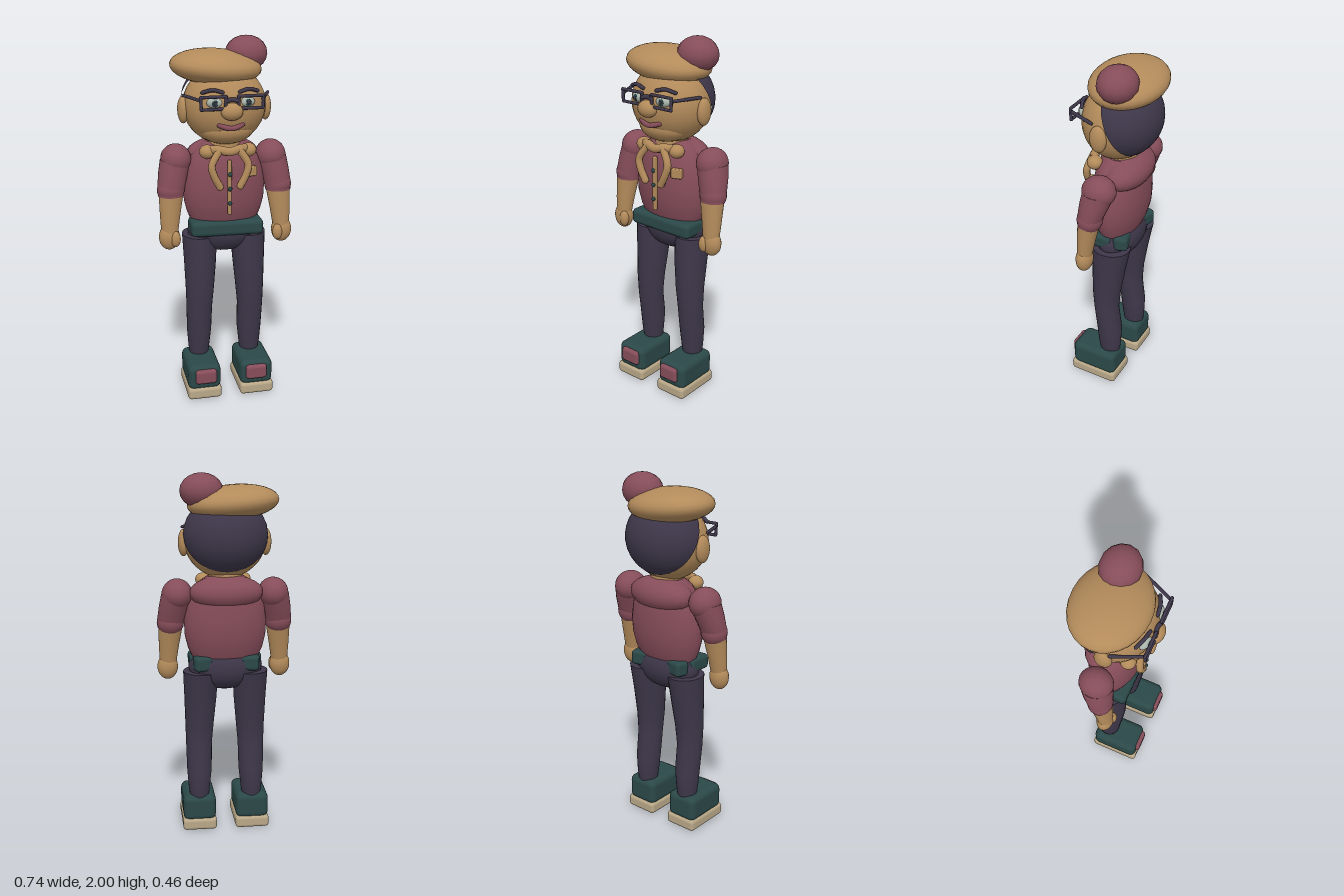
import * as THREE from 'three';
import { RoundedBoxGeometry } from 'three/addons/geometries/RoundedBoxGeometry.js';

const mat = (name, color) => Object.assign(new THREE.MeshStandardMaterial({ color }), { name });

export function createModel() {
  const root = new THREE.Group();
  root.name = 'figure';
  const tan = mat('tan', 0xb38b5b);
  const maroon = mat('maroon', 0x864d5a);
  const purple = mat('dark purple', 0x3e374a);
  const teal = mat('dark teal', 0x2b4848);
  const cream = mat('cream', 0xb9a888);
  const grey = mat('eye grey', 0xa9b3aa);

  const add = (name, geo, material, pos = [0, 0, 0], rot = [0, 0, 0]) => {
    const m = new THREE.Mesh(geo, material);
    m.name = name;
    m.position.set(...pos);
    m.rotation.set(...rot);
    root.add(m);
    return m;
  };
  const ball = (name, material, pos, r, rot, w = 20, h = 14) =>
    add(name, new THREE.SphereGeometry(1, w, h).scale(...r), material, pos, rot);
  const box = (name, material, pos, size, radius, rot) =>
    add(name, new RoundedBoxGeometry(...size, 3, radius), material, pos, rot);
  // Round-ended tube through a few points
  const tube = (name, material, pts, r) => {
    const v = pts.map(p => new THREE.Vector3(...p));
    add(name, new THREE.TubeGeometry(new THREE.CatmullRomCurve3(v), 14, r, 8), material);
    for (const e of [pts[0], pts[pts.length - 1]]) ball(name + 'End', material, e, [r, r, r], undefined, 8, 6);
  };
  // Skin over elliptical rings [y, cx, cz, rx, rz], listed from bottom to top
  const loft = (name, material, rings, n = 24) => {
    const pos = [], idx = [];
    for (const [y, cx, cz, rx, rz] of rings)
      for (let i = 0; i < n; i++) {
        const a = (i / n) * Math.PI * 2;
        pos.push(cx + Math.sin(a) * rx, y, cz + Math.cos(a) * rz);
      }
    for (let k = 0; k < rings.length - 1; k++)
      for (let i = 0; i < n; i++) {
        const a = k * n + i, b = k * n + (i + 1) % n;
        idx.push(a, b, a + n, b, b + n, a + n);
      }
    // End caps use their own vertices so the rims stay sharp
    [0, rings.length - 1].forEach((k, top) => {
      const [y, cx, cz] = rings[k], c = pos.length / 3;
      pos.push(cx, y, cz);
      for (let i = 0; i < n; i++) pos.push(...pos.slice((k * n + i) * 3, (k * n + i) * 3 + 3));
      for (let i = 0; i < n; i++) {
        const a = c + 1 + i, b = c + 1 + (i + 1) % n;
        if (top) idx.push(c, a, b); else idx.push(c, b, a);
      }
    });
    const g = new THREE.BufferGeometry();
    g.setAttribute('position', new THREE.Float32BufferAttribute(pos, 3));
    g.setIndex(idx);
    g.computeVertexNormals();
    return add(name, g, material);
  };

  // Head, hair and cap
  ball('head', tan, [0, 1.65, 0], [0.222, 0.21, 0.19], undefined, 28, 20);
  ball('jaw', tan, [0, 1.535, 0.05], [0.15, 0.085, 0.115]);
  ball('nose', tan, [0, 1.648, 0.19], [0.058, 0.045, 0.04]);
  const hair = new THREE.SphereGeometry(1, 28, 12, 0, Math.PI * 2, 0, 1.458);
  hair.rotateX(-1.148).scale(0.228, 0.212, 0.205);
  add('hair', hair, purple, [0, 1.67, -0.02]);
  ball('cap', tan, [-0.04, 1.845, -0.03], [0.245, 0.093, 0.198], [0, 0, -0.08], 28, 16);
  ball('pompom', maroon, [0.13, 1.907, -0.057], [0.115, 0.093, 0.104], undefined, 14, 10);
  tube('mouth', maroon, [[-0.06, 1.575, 0.165], [-0.03, 1.564, 0.177], [0, 1.56, 0.182],
    [0.03, 1.564, 0.177], [0.06, 1.575, 0.165]], 0.014);

  // Neck and scarf
  add('neck', new THREE.CylinderGeometry(0.085, 0.1, 0.12, 20), tan, [0, 1.45, -0.01]);
  tube('scarfBand', tan, [[-0.12, 1.425, 0.08], [-0.06, 1.435, 0.12], [0, 1.425, 0.135],
    [0.06, 1.435, 0.12], [0.12, 1.425, 0.08]], 0.024);

  // Shirt
  loft('shirtBody', maroon, [[1.015, 0, -0.015, 0.185, 0.1], [1.06, 0, -0.015, 0.205, 0.118],
    [1.13, 0, -0.015, 0.222, 0.135], [1.21, 0, -0.015, 0.226, 0.14], [1.3, 0, -0.015, 0.212, 0.138],
    [1.37, 0, -0.015, 0.185, 0.128], [1.42, 0, -0.015, 0.15, 0.11], [1.455, 0, -0.02, 0.1, 0.08]], 28);
  ball('shirtYoke', maroon, [0, 1.37, -0.06], [0.2, 0.095, 0.112]);
  box('placket', tan, [0, 1.23, 0.135], [0.02, 0.3, 0.024], 0.006);
  for (const y of [1.305, 1.225, 1.145]) ball('button', teal, [0, y, 0.149], [0.012, 0.012, 0.009], undefined, 10, 8);
  box('chestPocket', tan, [0.125, 1.305, 0.105], [0.06, 0.052, 0.03], 0.006, [0, 0.3, 0]);

  // Hips and belt
  ball('hips', purple, [0, 0.955, -0.015], [0.205, 0.13, 0.115]);
  box('belt', teal, [0, 0.985, 0.035], [0.4, 0.085, 0.15], 0.025, [0, 0, -0.015]);

  // Glasses bridge
  tube('glassesBridge', purple, [[-0.03, 1.705, 0.193], [0, 1.71, 0.187], [0.03, 1.705, 0.193]], 0.012);

  for (const s of [1, -1]) {
    const side = s > 0 ? 'left' : 'right';
    const m = p => [p[0] * s, p[1], p[2]];

    // Face details
    ball(side + 'Ear', tan, m([0.222, 1.632, 0.005]), [0.03, 0.073, 0.047]);
    ball(side + 'Eye', grey, m([0.085, 1.692, 0.162]), [0.042, 0.027, 0.026], [0, s * 0.2, 0]);
    ball(side + 'Iris', teal, m([0.085, 1.692, 0.184]), [0.017, 0.018, 0.006], undefined, 12, 8);
    ball(side + 'Pupil', purple, m([0.085, 1.692, 0.189]), [0.008, 0.009, 0.004], undefined, 10, 8);
    tube(side + 'Eyebrow', purple, [[0.045, 1.745, 0.17], [0.095, 1.757, 0.162], [0.145, 1.742, 0.14]].map(m), 0.01);

    // Glasses rim and arm
    const rim = [[0.035, 1.665], [0.16, 1.665], [0.163, 1.728], [0.032, 1.728]];
    rim.forEach((p, i) => {
      const q = rim[(i + 1) % 4];
      tube(side + 'GlassesRim', purple, [m([...p, 0.195]), m([...q, 0.195])], 0.0085);
    });
    tube(side + 'GlassesArm', purple, [[0.16, 1.71, 0.19], [0.225, 1.713, 0.04]].map(m), 0.009);

    // Scarf bow and loose end
    ball(side + 'ScarfBow', tan, m([0.112, 1.42, 0.09]), [0.042, 0.037, 0.042]);
    tube(side + 'ScarfEnd', tan, [[0.055, 1.43, 0.13], [0.098, 1.355, 0.148], [0.085, 1.3, 0.152], [0.055, 1.24, 0.15]].map(m), 0.02);

    // Arm
    ball(side + 'Shoulder', maroon, m([0.262, 1.36, -0.02]), [0.083, 0.083, 0.092]);
    loft(side + 'Sleeve', maroon, [[1.17, s * 0.298, 0.02, 0.07, 0.06], [1.22, s * 0.294, 0.012, 0.075, 0.068],
      [1.29, s * 0.28, -0.005, 0.08, 0.08], [1.36, s * 0.265, -0.02, 0.082, 0.085]]);
    ball(side + 'Elbow', maroon, m([0.298, 1.2, 0.015]), [0.074, 0.074, 0.068]);
    loft(side + 'Forearm', tan, [[0.97, s * 0.312, 0.045, 0.046, 0.04], [1.06, s * 0.307, 0.036, 0.055, 0.048],
      [1.17, s * 0.298, 0.022, 0.066, 0.058]]);
    ball(side + 'Hand', tan, m([0.315, 0.943, 0.045]), [0.057, 0.072, 0.045]);
    ball(side + 'Thumb', tan, m([0.285, 0.938, 0.075]), [0.028, 0.045, 0.025]);

    // Trouser leg and back pocket
    loft(side + 'Leg', purple, [[0.18, s * 0.148, -0.015, 0.052, 0.055], [0.24, s * 0.149, -0.013, 0.06, 0.065],
      [0.35, s * 0.147, -0.01, 0.07, 0.072], [0.5, s * 0.147, 0.008, 0.073, 0.07],
      [0.62, s * 0.143, 0.008, 0.08, 0.08], [0.78, s * 0.138, -0.005, 0.09, 0.094],
      [0.93, s * 0.137, -0.02, 0.097, 0.108]]);
    box(side + 'BackPocket', teal, m([0.12, 0.985, -0.077]), [0.12, 0.082, 0.08], 0.02, [0, s * 0.25, 0]);

    // Shoe
    box(side + 'ShoeUpper', teal, m([0.15, 0.13, 0.056]), [0.185, 0.15, 0.275], 0.035);
    box(side + 'ShoeSole', cream, m([0.15, 0.036, 0.057]), [0.192, 0.07, 0.287], 0.02);
    box(side + 'ShoePatch', maroon, m([0.145, 0.143, 0.19]), [0.12, 0.085, 0.045], 0.018);
  }
  return root;
}
